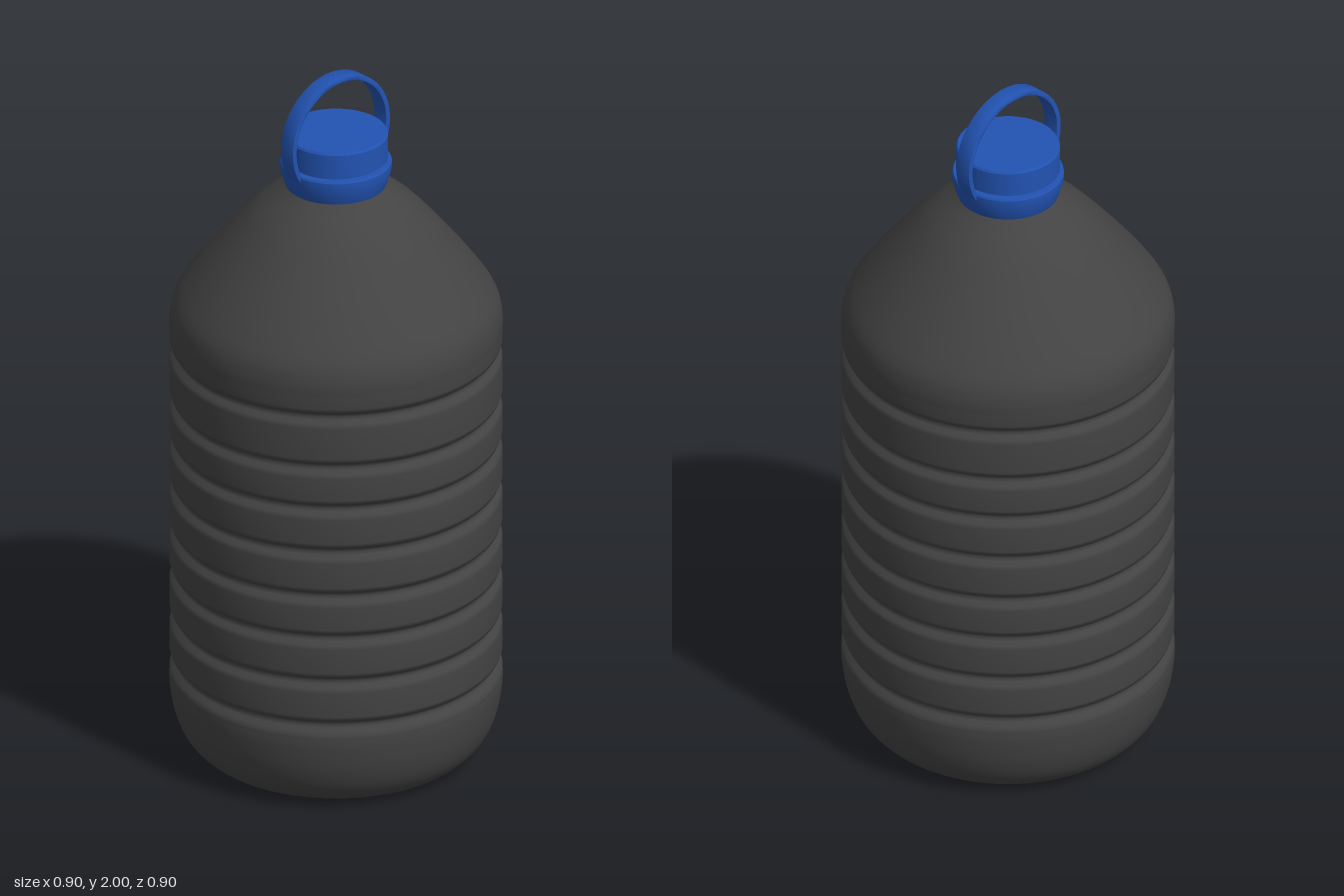
import * as THREE from 'three';
import { toCreasedNormals } from 'three/addons/utils/BufferGeometryUtils.js';

const vec = (list) => list.map(([x, y]) => new THREE.Vector2(x, y));
const smooth = (list, n) => new THREE.SplineCurve(vec(list)).getPoints(n);

export function createModel() {
  const group = new THREE.Group();
  const plastic = new THREE.MeshStandardMaterial({ color: 0x434343 });
  plastic.name = 'dark plastic';
  const blue = new THREE.MeshStandardMaterial({ color: 0x2253b2 });
  blue.name = 'blue plastic';

  const add = (name, geometry, material) => {
    const mesh = new THREE.Mesh(geometry, material);
    mesh.name = name;
    group.add(mesh);
    return mesh;
  };

  // Bottle: hollowed base, rounded foot, ribbed wall, domed shoulder
  const R = 0.447;
  const profile = smooth([[0, 0.07], [0.1, 0.058], [0.2, 0.022], [0.26, 0.004], [0.31, 0],
    [0.365, 0.018], [0.41, 0.065], [0.436, 0.13], [R, 0.2], [R, 0.235]], 40);
  for (const y of [0.27, 0.40, 0.53, 0.655, 0.787, 0.917, 1.04, 1.19]) {
    profile.push(...vec([[R, y - 0.03], [0.443, y - 0.018], [0.431, y - 0.009], [0.428, y],
      [0.431, y + 0.009], [0.443, y + 0.018], [R, y + 0.03]]));
  }
  profile.push(...smooth([[R, 1.25], [R, 1.29], [0.434, 1.34], [0.392, 1.405], [0.318, 1.5],
    [0.222, 1.61], [0.14, 1.676], [0.125, 1.69]], 28));
  add('bottle', new THREE.LatheGeometry(profile, 96), plastic);

  // Sharp-edged turned parts
  const turned = (list) => toCreasedNormals(new THREE.LatheGeometry(vec(list), 64), 0.5);

  // Flared collar around the neck
  add('collar', turned([[0.1, 1.678], [0.134, 1.678], [0.139, 1.69], [0.15, 1.728],
    [0.15, 1.748], [0.147, 1.753], [0.13, 1.753], [0.13, 1.765]]), blue);

  // Screw cap
  add('cap', turned([[0.12, 1.76], [0.14, 1.76], [0.14, 1.828], [0.136, 1.834], [0, 1.834]]), blue);

  // Carrying loop, an open ring joined to the collar on both sides
  const dip = 0.54, outer = 0.175, inner = 0.16, bevel = 0.003;
  const arc = new THREE.Shape();
  arc.absarc(0, 0, outer - bevel, -dip, Math.PI + dip, false);
  arc.absarc(0, 0, inner + bevel, Math.PI + dip, -dip, true);
  const loop = new THREE.ExtrudeGeometry(arc, {
    depth: 0.044, curveSegments: 56, bevelSize: bevel, bevelThickness: bevel, bevelSegments: 2,
  });
  loop.translate(0, 1.825, -0.024);
  add('handle', toCreasedNormals(loop, 0.6), blue);

  return group;
}
